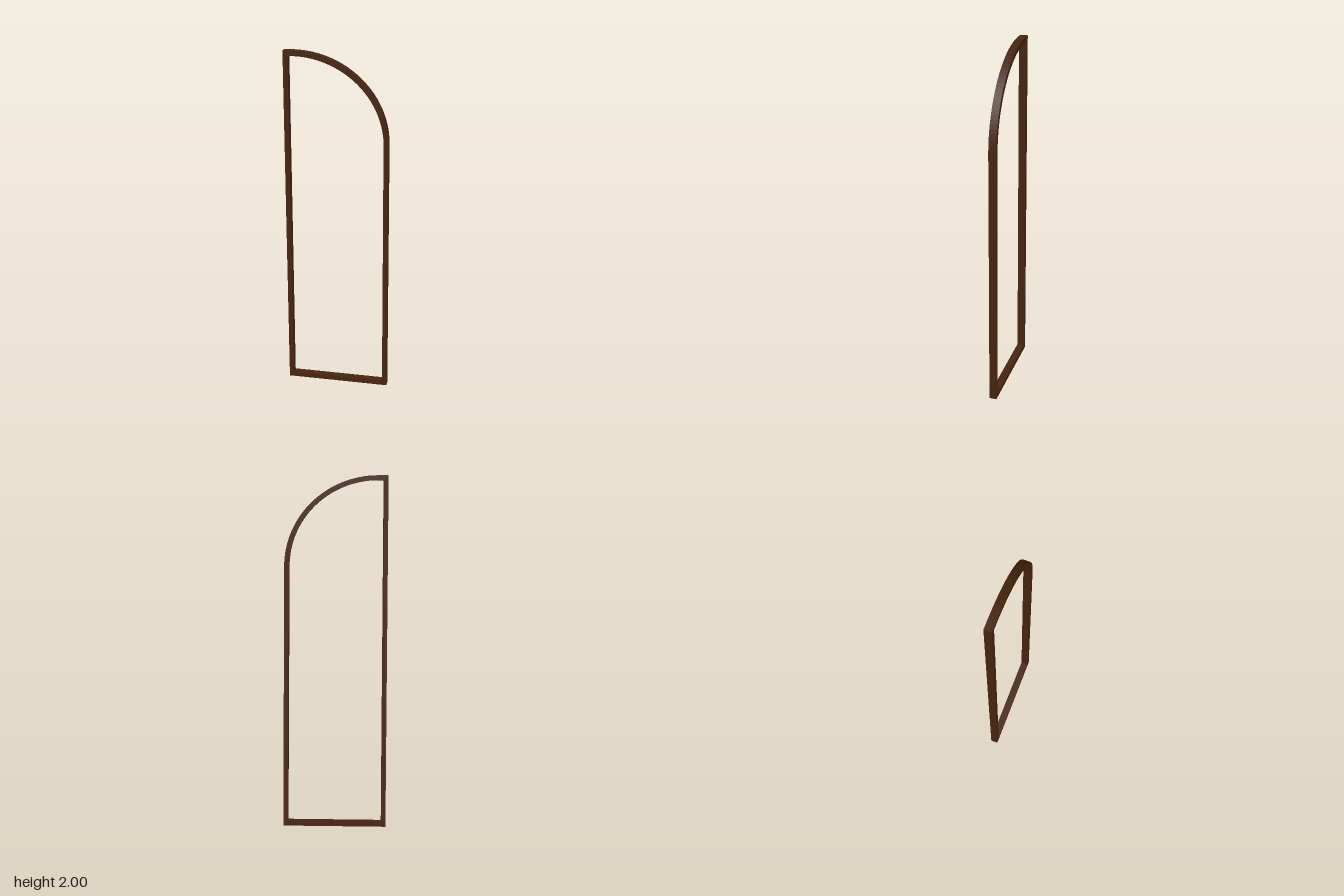
import * as THREE from 'three';

const WIDTH = 0.027; // face width of the frame bars
const DEPTH = 0.042;
const SPRING = 1.5; // height where the straight jamb meets the arch

// Outline of a half-arched opening, inset by t from the outer edge
function outline(Type, t) {
  const left = -0.296 + t, centre = -0.24;
  const path = new Type();
  path.moveTo(left, t);
  path.lineTo(0.296 - t, t);
  path.lineTo(0.278 - t, SPRING);
  path.absellipse(centre, SPRING, 0.278 - t - centre, 0.5 - t, 0, Math.PI / 2, false, 0);
  path.lineTo(left, 2 - t);
  path.closePath();
  return path;
}

export function createModel() {
  const model = new THREE.Group();
  model.name = 'halfArchFrame';

  const wood = new THREE.MeshStandardMaterial({ color: 0x47240f });
  wood.name = 'dark brown wood';

  // Post, sill, leaning jamb and quarter arch as one continuous frame
  const shape = outline(THREE.Shape, 0);
  shape.holes.push(outline(THREE.Path, WIDTH));
  const geometry = new THREE.ExtrudeGeometry(shape, {
    depth: DEPTH, bevelEnabled: false, curveSegments: 16,
  });
  geometry.translate(0, 0, -DEPTH / 2);

  const frame = new THREE.Mesh(geometry, wood);
  frame.name = 'frame';
  model.add(frame);
  return model;
}
